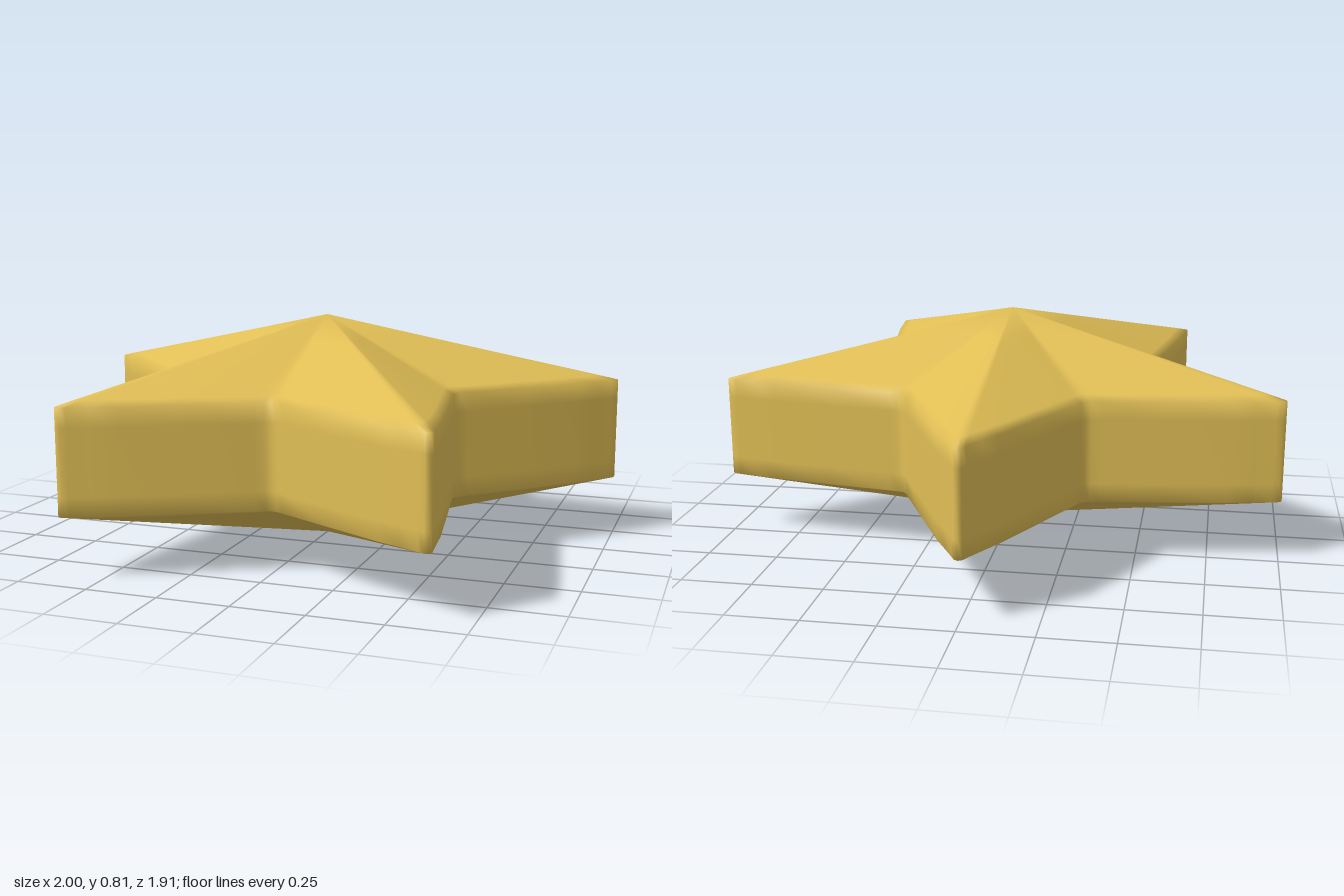
import * as THREE from 'three';
import { mergeVertices } from 'three/addons/utils/BufferGeometryUtils.js';

const CENTRE_Z = 0.1;

// Half an arm from tip to notch: [distance along arm, sideways]
const HALF_ARM = [
  [1.053, 0], [1.045, 0.014], [1.025, 0.024], [0.96, 0.06], [0.89, 0.1],
  [0.69, 0.198], [0.49, 0.295], [0.46, 0.309],
];
const NOTCH_RADIUS = 0.55;

// Vertical section from bottom point to top point: [outline scale, height]
const SECTION = [
  [0, 0], [0.3, 0.065], [0.65, 0.14], [0.93, 0.2], [1, 0.215], [1, 0.28],
  [1, 0.51], [1, 0.575], [0.93, 0.592], [0.65, 0.657], [0.3, 0.739], [0, 0.81],
];

// Five-armed outline, one arm pointing to the back
function starOutline() {
  const points = [];
  const place = (along, side, angle) => points.push([
    along * Math.sin(angle) + side * Math.cos(angle),
    -along * Math.cos(angle) + side * Math.sin(angle),
  ]);
  for (let arm = 0; arm < 5; arm++) {
    const angle = (arm * 2 * Math.PI) / 5;
    for (let i = HALF_ARM.length - 1; i > 0; i--) place(HALF_ARM[i][0], -HALF_ARM[i][1], angle);
    for (const [along, side] of HALF_ARM) place(along, side, angle);
    place(NOTCH_RADIUS, 0, angle + Math.PI / 5);
  }
  return points;
}

function starGeometry() {
  const outline = starOutline();
  const n = outline.length;
  const positions = [];
  const index = [];
  SECTION.forEach(([scale, y], ring) => {
    for (const [x, z] of outline) positions.push(x * scale, y, z * scale + CENTRE_Z);
    if (ring === 0) return;
    for (let i = 0; i < n; i++) {
      const j = (i + 1) % n;
      const lo = (ring - 1) * n, hi = ring * n;
      // the end rings shrink to a point, so only one triangle is needed there
      if (ring < SECTION.length - 1) index.push(lo + i, hi + i, hi + j);
      if (ring > 1) index.push(lo + i, hi + j, lo + j);
    }
  });
  let geometry = new THREE.BufferGeometry();
  geometry.setAttribute('position', new THREE.Float32BufferAttribute(positions, 3));
  geometry.setIndex(index);
  geometry = mergeVertices(geometry, 1e-5);
  geometry.computeVertexNormals();
  return geometry;
}

export function createModel() {
  const group = new THREE.Group();
  group.name = 'star';
  const body = new THREE.Mesh(
    starGeometry(),
    new THREE.MeshStandardMaterial({ color: 0xe0be55 }),
  );
  body.name = 'starBody';
  group.add(body);
  return group;
}
